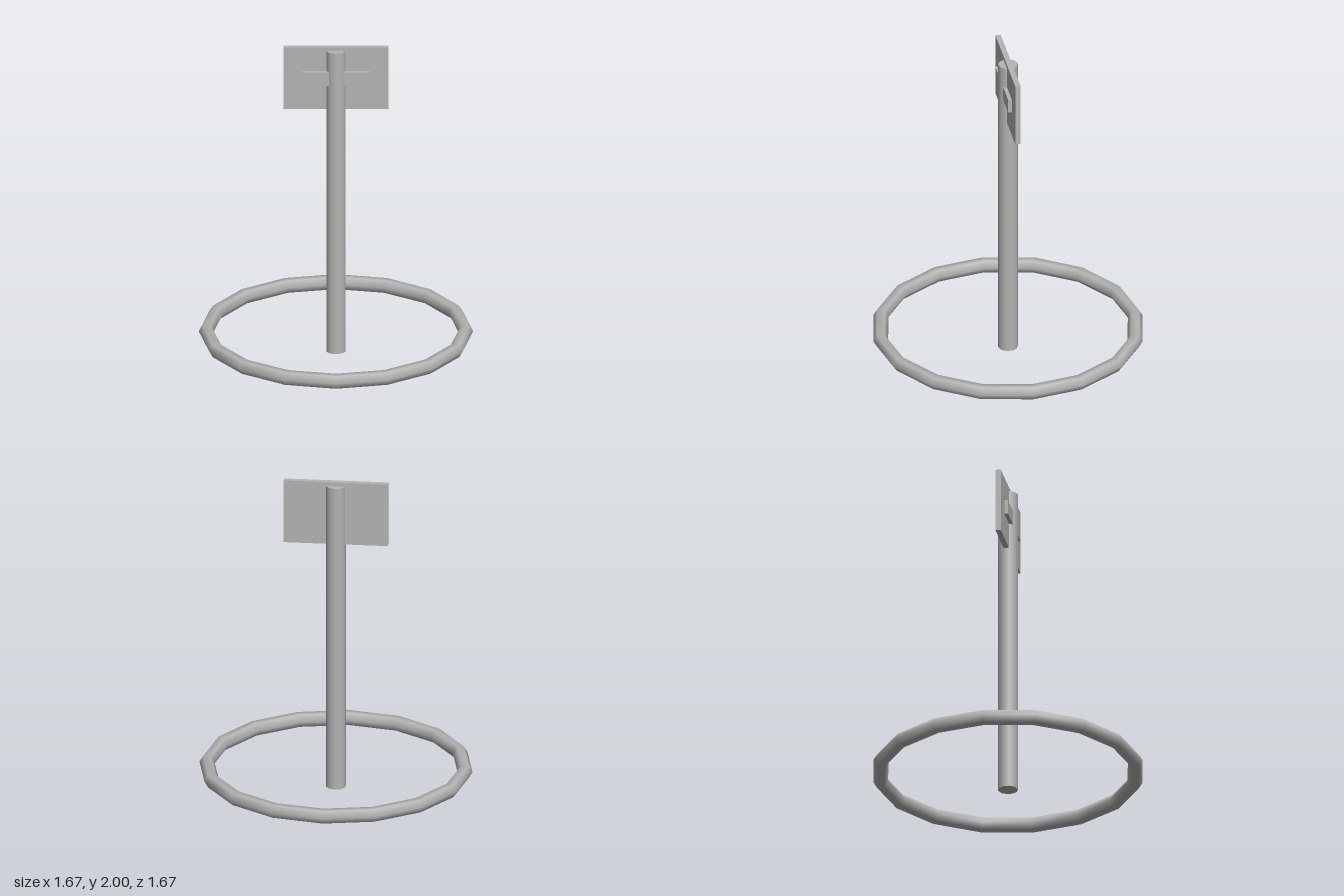
import * as THREE from 'three';

export function createModel() {
  const model = new THREE.Group();
  model.name = 'signPost';
  const grey = new THREE.MeshStandardMaterial({ color: 0xb4b4b4 });
  grey.name = 'grey';

  const add = (name, geometry, x, y, z) => {
    const mesh = new THREE.Mesh(geometry, grey);
    mesh.name = name;
    mesh.position.set(x, y, z);
    model.add(mesh);
    return mesh;
  };

  // Ten-sided upright
  add('pole', new THREE.CylinderGeometry(0.061, 0.061, 1.975, 10), 0, 0.9875, 0);

  // Ring around the foot: 16 segments of hexagonal tube
  const ring = add('baseRing', new THREE.TorusGeometry(0.787, 0.046, 6, 16), 0, 0.125, 0);
  ring.rotation.x = -Math.PI / 2;

  // Sign board with a raised bar on its front
  add('signBoard', new THREE.BoxGeometry(0.636, 0.405, 0.033), 0, 1.7975, 0);
  add('signBar', new THREE.BoxGeometry(0.41, 0.09, 0.03), 0, 1.8, 0.024);

  return model;
}
